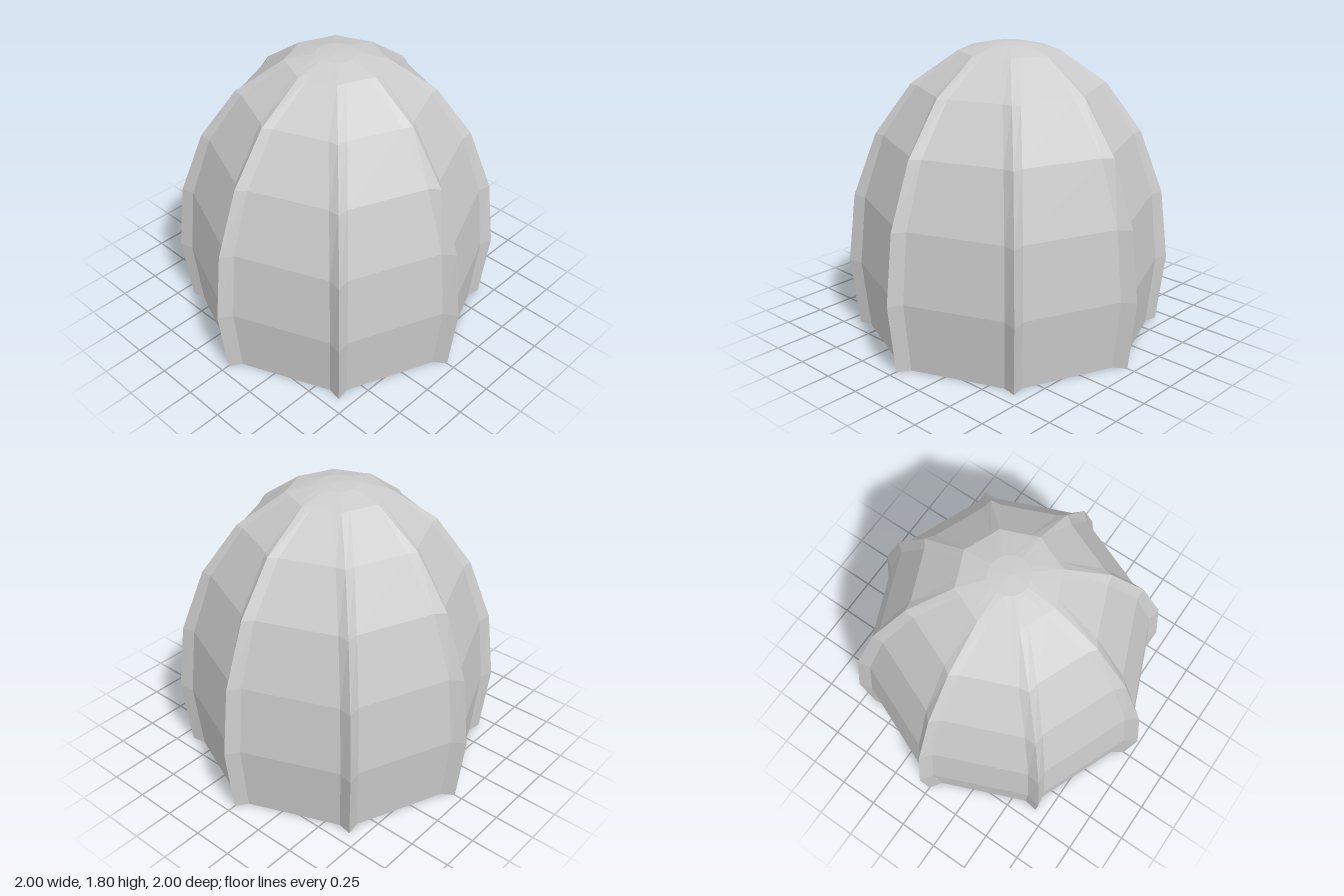
import * as THREE from 'three';

const RIBS = 8;

// Cross-sections from rim to crown: height, ridge radius, groove radius, rib half-width
const RINGS = [
  [0, 0.95, 0.878, 0.05],
  [0.43, 1, 0.922, 0.05],
  [0.86, 0.95, 0.88, 0.05],
  [1.25, 0.805, 0.753, 0.05],
  [1.555, 0.585, 0.548, 0.05],
  [1.755, 0.3, 0.277, 0.05],
  [1.797, 0.12, 0.11, 0.0455],
];
const APEX = 1.805;

// Three points per rib: shoulder, ridge, shoulder
function ringPoints([y, ridge, groove, half]) {
  const points = [];
  for (let k = 0; k < RIBS; k++) {
    const a = (k * 2 * Math.PI) / RIBS;
    const s = Math.sin(a), c = Math.cos(a);
    for (const [r, t] of [[groove, -half], [ridge, 0], [groove, half]]) {
      points.push([s * r + c * t, y, c * r - s * t]);
    }
  }
  return points;
}

export function createModel() {
  const rings = RINGS.map(ringPoints);
  const n = RIBS * 3;
  const positions = rings.flat(2);
  const index = [];

  // Wall between neighbouring rings
  for (let i = 0; i < rings.length - 1; i++) {
    for (let j = 0; j < n; j++) {
      const a = i * n + j, b = i * n + ((j + 1) % n);
      index.push(a, b, b + n, a, b + n, a + n);
    }
  }

  // Crown fan up to the apex
  const top = positions.length / 3;
  positions.push(0, APEX, 0);
  for (let j = 0; j < n; j++) {
    index.push(top - n + j, top - n + ((j + 1) % n), top);
  }

  const geometry = new THREE.BufferGeometry();
  geometry.setAttribute('position', new THREE.Float32BufferAttribute(positions, 3));
  geometry.setIndex(index);
  geometry.computeVertexNormals();

  // Thin shell, open at the bottom
  const shell = new THREE.Mesh(geometry, new THREE.MeshStandardMaterial({
    color: 0xcccccc, flatShading: true, side: THREE.DoubleSide,
  }));
  shell.name = 'ribbedDomeShell';

  const group = new THREE.Group();
  group.name = 'ribbedDome';
  group.add(shell);
  return group;
}
